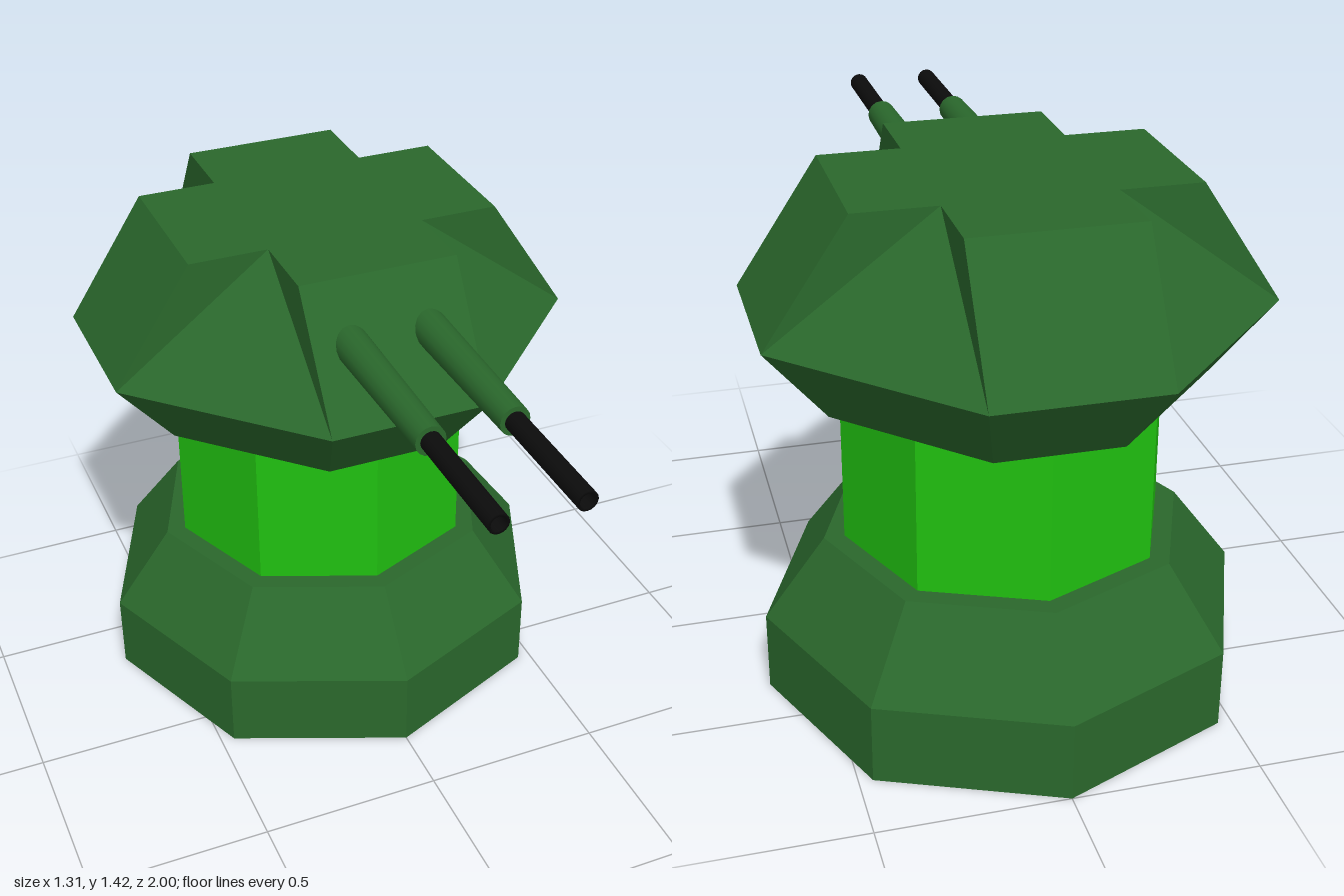
import * as THREE from 'three';

const CENTER_Z = -0.345;

const makeMaterial = (color, flatShading = true) => {
  const m = new THREE.MeshStandardMaterial({ color });
  m.flatShading = flatShading;
  return m;
};

function addMesh(parent, name, geometry, material, x = 0, y = 0, z = 0) {
  const mesh = new THREE.Mesh(geometry, material);
  mesh.name = name;
  mesh.position.set(x, y, z);
  parent.add(mesh);
  return mesh;
}

// Octagonal head with a cross-shaped roof; one quarter is repeated four times
function headGeometry() {
  const top = 1.42, rim = 1.09, low = 0.88;
  const v = (x, y, z) => new THREE.Vector3(x, y, z);
  const T0 = v(-0.218, top, 0.435), T1 = v(0.218, top, 0.435), T2 = v(0.435, top, 0.218);
  const R0 = v(-0.218, rim, 0.653), R1 = v(0.218, rim, 0.653), R2 = v(0.653, rim, 0.218);
  const B0 = v(-0.163, low, 0.49), B1 = v(0.163, low, 0.49), B2 = v(0.49, low, 0.163);
  const I0 = v(-0.218, top, 0.218), I1 = v(0.218, top, 0.218);
  const M = v(0.4355, rim, 0.4355);
  const roof = v(0, top, 0), floor = v(0, low, 0);
  const faces = [
    [R0, R1, T1, T0], [B0, B1, R1, R0], [B1, B2, R2, R1], // front panel and lower skirt
    [R1, M, I1], [M, R2, I1],                             // sloped notch
    [R1, I1, T1], [T2, I1, R2],                           // upright notch walls
    [T0, T1, I1, I0], [I0, I1, roof],                     // roof arm
    [floor, B1, B0], [floor, B2, B1],                     // underside
  ];
  const points = [];
  const up = new THREE.Vector3(0, 1, 0);
  for (let k = 0; k < 4; k++) {
    for (const f of faces) {
      for (let i = 1; i < f.length - 1; i++) {
        for (const p of [f[0], f[i], f[i + 1]]) {
          points.push(p.clone().applyAxisAngle(up, k * Math.PI / 2));
        }
      }
    }
  }
  const g = new THREE.BufferGeometry().setFromPoints(points);
  g.computeVertexNormals();
  return g;
}

export function createModel() {
  const model = new THREE.Group();
  model.name = 'gunTurret';
  const armour = makeMaterial(0x2a682c);
  const glow = makeMaterial(0x20c010);
  const black = makeMaterial(0x0c0c0c, false);
  const sleevePaint = makeMaterial(0x2a682c, false);

  // Octagonal tower
  const tower = new THREE.Group();
  tower.name = 'tower';
  tower.position.z = CENTER_Z;
  model.add(tower);
  addMesh(tower, 'basePlinth', new THREE.CylinderGeometry(0.655, 0.655, 0.22, 8, 1, false)
    , armour, 0, 0.11);
  addMesh(tower, 'baseSlope', new THREE.CylinderGeometry(0.49, 0.655, 0.22, 8), armour, 0, 0.33);
  addMesh(tower, 'column', new THREE.CylinderGeometry(0.435, 0.435, 0.44, 8, 1, true), glow, 0, 0.66);
  addMesh(tower, 'head', headGeometry(), armour);

  // Twin guns: tapered sleeve and hollow barrel, both pointing to +z
  const sleeve = new THREE.CylinderGeometry(0.04, 0.05, 0.6, 16).rotateX(Math.PI / 2);
  const barrel = new THREE.LatheGeometry([
    new THREE.Vector2(0.027, 0), new THREE.Vector2(0.027, 0.35),
    new THREE.Vector2(0.02, 0.35), new THREE.Vector2(0.02, 0),
  ], 16).rotateX(Math.PI / 2);
  for (const side of [-1, 1]) {
    const gun = new THREE.Group();
    gun.name = side > 0 ? 'leftGun' : 'rightGun';
    gun.position.set(side * 0.109, 1.272, 0);
    addMesh(gun, 'sleeve', sleeve, sleevePaint, 0, 0, 0.35);
    addMesh(gun, 'barrel', barrel, black, 0, 0, 0.65);
    model.add(gun);
  }
  return model;
}
